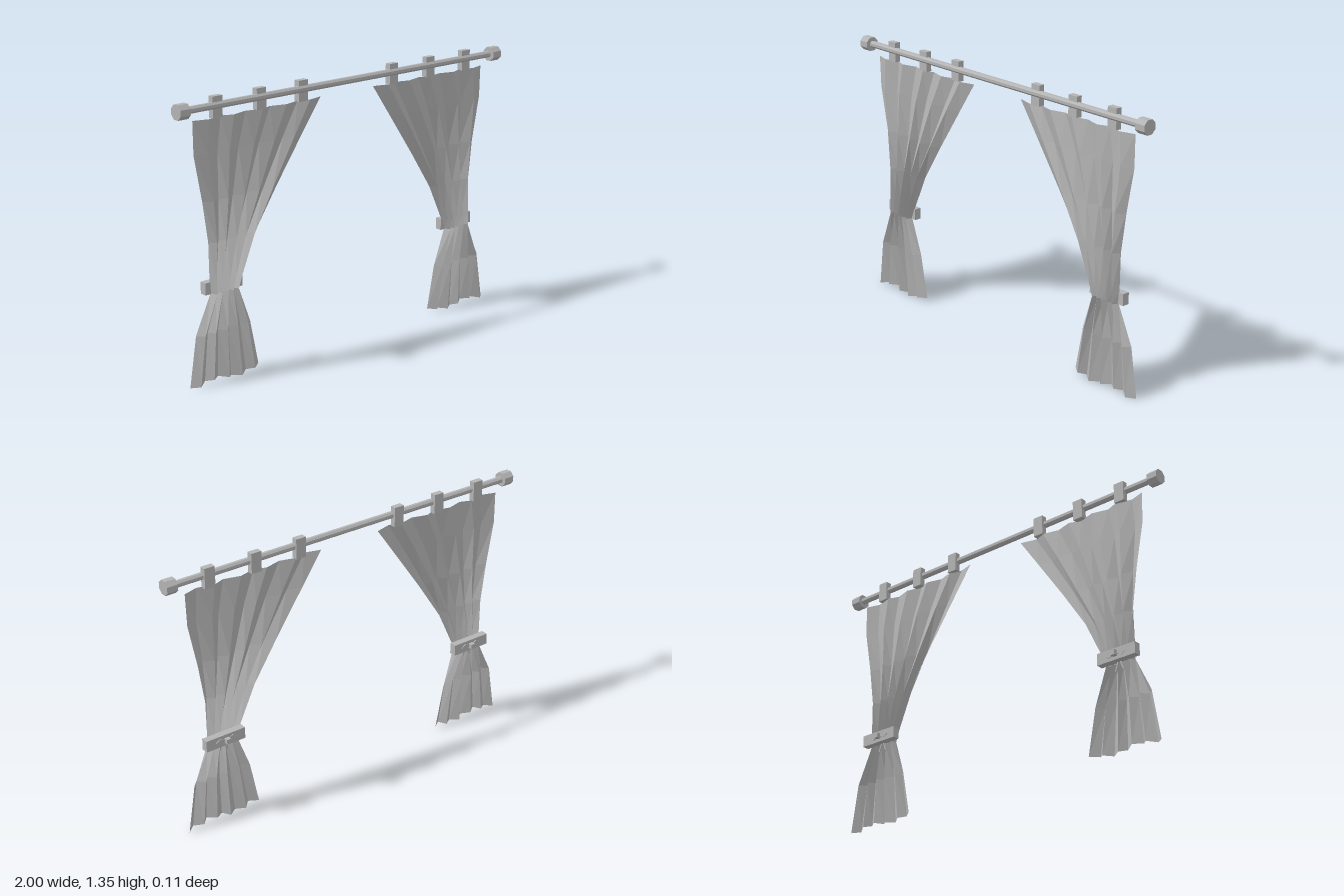
import * as THREE from 'three';

const fabric = new THREE.MeshStandardMaterial({ color: 0xb4b4b4, flatShading: true, side: THREE.DoubleSide });
fabric.name = 'light grey';

function add(parent, name, geometry, x, y, z) {
  const mesh = new THREE.Mesh(geometry, fabric);
  mesh.name = name;
  mesh.position.set(x, y, z);
  parent.add(mesh);
  return mesh;
}

// Curtain rows: height, inner edge, outer edge, pleat depth
const ROWS = [
  [1.25, 0.165, 0.903, 0.011],
  [1.09, 0.277, 0.9, 0.013],
  [0.87, 0.43, 0.858, 0.015],
  [0.675, 0.558, 0.83, 0.016],
  [0.49, 0.645, 0.828, 0.016],
  [0.43, 0.668, 0.825, 0.016],
  [0.245, 0.6, 0.912, 0.016],
  [0.01, 0.555, 0.952, 0.016],
];

// Pleated cloth, gathered at the tie and flaring again below it
function curtainGeometry(side) {
  const strips = 10, pos = [], index = [];
  ROWS.forEach(([y, inner, outer, depth], r) => {
    for (let i = 0; i <= strips; i++) {
      const t = i / strips;
      const fold = i % 2 ? 1 : -1;
      const sway = (i > 0 && i < strips) ? 0.12 * Math.sin(i * 2.1) / strips : 0;
      const hem = r === ROWS.length - 1 ? 0.01 * Math.cos(t * Math.PI * 3) : 0;
      pos.push(side * (inner + (outer - inner) * (t + sway)), y + hem, 0.016 + fold * depth);
    }
  });
  const n = strips + 1;
  for (let r = 0; r < ROWS.length - 1; r++) {
    for (let i = 0; i < strips; i++) {
      const a = r * n + i, b = a + 1, c = a + n, d = c + 1;
      if (side > 0) index.push(a, c, b, b, c, d);
      else index.push(a, b, c, b, d, c);
    }
  }
  const g = new THREE.BufferGeometry();
  g.setAttribute('position', new THREE.Float32BufferAttribute(pos, 3));
  g.setIndex(index);
  const flat = g.toNonIndexed();
  flat.computeVertexNormals();
  return flat;
}

// Octagonal bar lying along x
function bar(radius, length) {
  return new THREE.CylinderGeometry(radius, radius, length, 8)
    .rotateY(Math.PI / 8).rotateZ(Math.PI / 2);
}

// Thin diamond for one half of the bow
function bowGeometry(dir) {
  const s = new THREE.Shape();
  s.moveTo(0, 0);
  s.lineTo(dir * 0.035, 0.018);
  s.lineTo(dir * 0.06, 0);
  s.lineTo(dir * 0.035, -0.014);
  s.closePath();
  return new THREE.ExtrudeGeometry(s, { depth: 0.004, bevelEnabled: false });
}

export function createModel() {
  const model = new THREE.Group();
  model.name = 'curtains';

  add(model, 'rod', bar(0.017, 1.92), 0, 1.305, 0.018);

  for (const side of [1, -1]) {
    const half = new THREE.Group();
    half.name = side > 0 ? 'leftCurtain' : 'rightCurtain';
    model.add(half);

    add(half, 'finial', bar(0.037, 0.055), side * 0.9725, 1.305, 0.02);

    // Hanging loops around the rod
    for (const x of [0.285, 0.53, 0.777]) {
      add(half, 'hangingLoop', new THREE.BoxGeometry(0.054, 0.1, 0.03), side * x, 1.297, 0.009);
    }

    add(half, 'cloth', curtainGeometry(side), 0, 0, 0);

    // Tieback with a bow behind the cloth
    add(half, 'tieback', new THREE.BoxGeometry(0.213, 0.058, 0.036), side * 0.748, 0.457, -0.015);
    add(half, 'bowKnot', new THREE.BoxGeometry(0.022, 0.025, 0.022), side * 0.745, 0.457, -0.044);
    for (const dir of [1, -1]) {
      add(half, 'bowLoop', bowGeometry(dir), side * 0.745, 0.457, -0.037);
      const tail = add(half, 'bowTail', new THREE.BoxGeometry(0.007, 0.05, 0.004),
        side * 0.745 + dir * 0.014, 0.41, -0.003);
      tail.rotation.z = dir * 0.35;
    }
  }
  return model;
}
